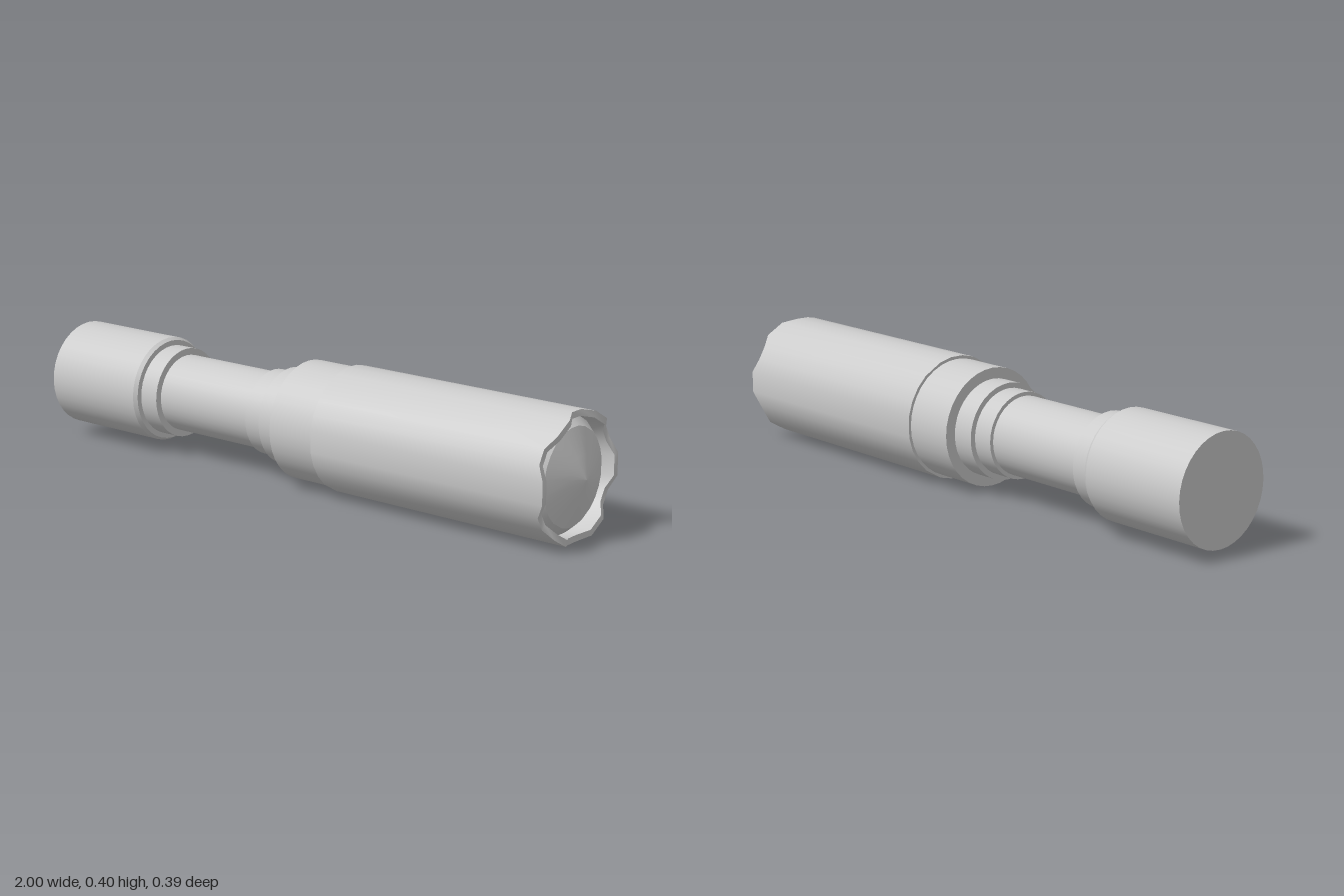
import * as THREE from 'three';

const AXIS_Y = 0.2;
const material = new THREE.MeshStandardMaterial({ color: 0xcccccc });

// Head cross-section: six flats (20 to 40 degrees) joined by six arcs.
// Each entry is [angle, scallop depth at the rim].
const section = [];
for (let k = 0; k < 6; k++) {
  for (const [a, depth] of [[20, 0], [40, 0], [53.3, 0.022], [66.7, 0.022]]) {
    section.push([THREE.MathUtils.degToRad(a + 60 * k), depth]);
  }
}

// Skin between successive rings [x, radius, scalloped], smooth inside one skin.
function skin(rings) {
  const n = section.length;
  const positions = [];
  const index = [];
  for (const [x, r, scalloped] of rings) {
    for (const [a, depth] of section) {
      positions.push(x - (scalloped ? depth : 0), r * Math.cos(a), r * Math.sin(a));
    }
  }
  for (let j = 0; j < rings.length - 1; j++) {
    for (let i = 0; i < n; i++) {
      const i2 = (i + 1) % n;
      const a = j * n + i, b = j * n + i2, c = a + n, d = b + n;
      index.push(a, b, c, b, d, c);
    }
  }
  const g = new THREE.BufferGeometry();
  g.setAttribute('position', new THREE.Float32BufferAttribute(positions, 3));
  g.setIndex(index);
  g.computeVertexNormals();
  return g;
}

export function createModel() {
  const model = new THREE.Group();
  const body = new THREE.Group();
  body.name = 'flashlight';
  body.position.y = AXIS_Y;
  model.add(body);

  function add(name, geometry, parent = body) {
    const mesh = new THREE.Mesh(geometry, material);
    mesh.name = name;
    parent.add(mesh);
  }

  // Stepped handle: [name, start x, end x, start radius, end radius]
  const steps = [
    ['tailCap', -1, -0.63, 0.172, 0.172],
    ['tailCapChamfer', -0.63, -0.617, 0.172, 0.164],
    ['tailCollar', -0.617, -0.55, 0.147, 0.147],
    ['grip', -0.55, -0.175, 0.125, 0.125],
    ['neckStepSmall', -0.175, -0.105, 0.137, 0.137],
    ['neckStepLarge', -0.105, -0.03, 0.154, 0.154],
    ['headCollar', -0.03, 0.145, 0.189, 0.189],
  ];
  for (const [name, x0, x1, r0, r1] of steps) {
    const g = new THREE.CylinderGeometry(r1, r0, x1 - x0, 36);
    g.rotateZ(-Math.PI / 2);
    g.translate((x0 + x1) / 2, 0, 0);
    add(name, g);
  }

  // Head tube with a scalloped, hollow rim
  const head = new THREE.Group();
  head.name = 'head';
  body.add(head);
  add('headBack', skin([[0.14, 0.15], [0.14, 0.199]]), head);
  add('headTube', skin([[0.14, 0.199], [0.98, 0.199, true]]), head);
  add('rimEdge', skin([[0.98, 0.199, true], [0.98, 0.179, true]]), head);
  add('rimInside', skin([[0.98, 0.179, true], [0.92, 0.179]]), head);

  // Raised lens: steep bevel and shallow dome
  const lens = new THREE.Group();
  lens.name = 'lens';
  body.add(lens);
  add('lensBevel', skin([[0.92, 0.179], [0.954, 0.15]]), lens);
  add('lensDome', skin([[0.954, 0.15], [0.982, 0.07], [1, 0]]), lens);

  return model;
}
